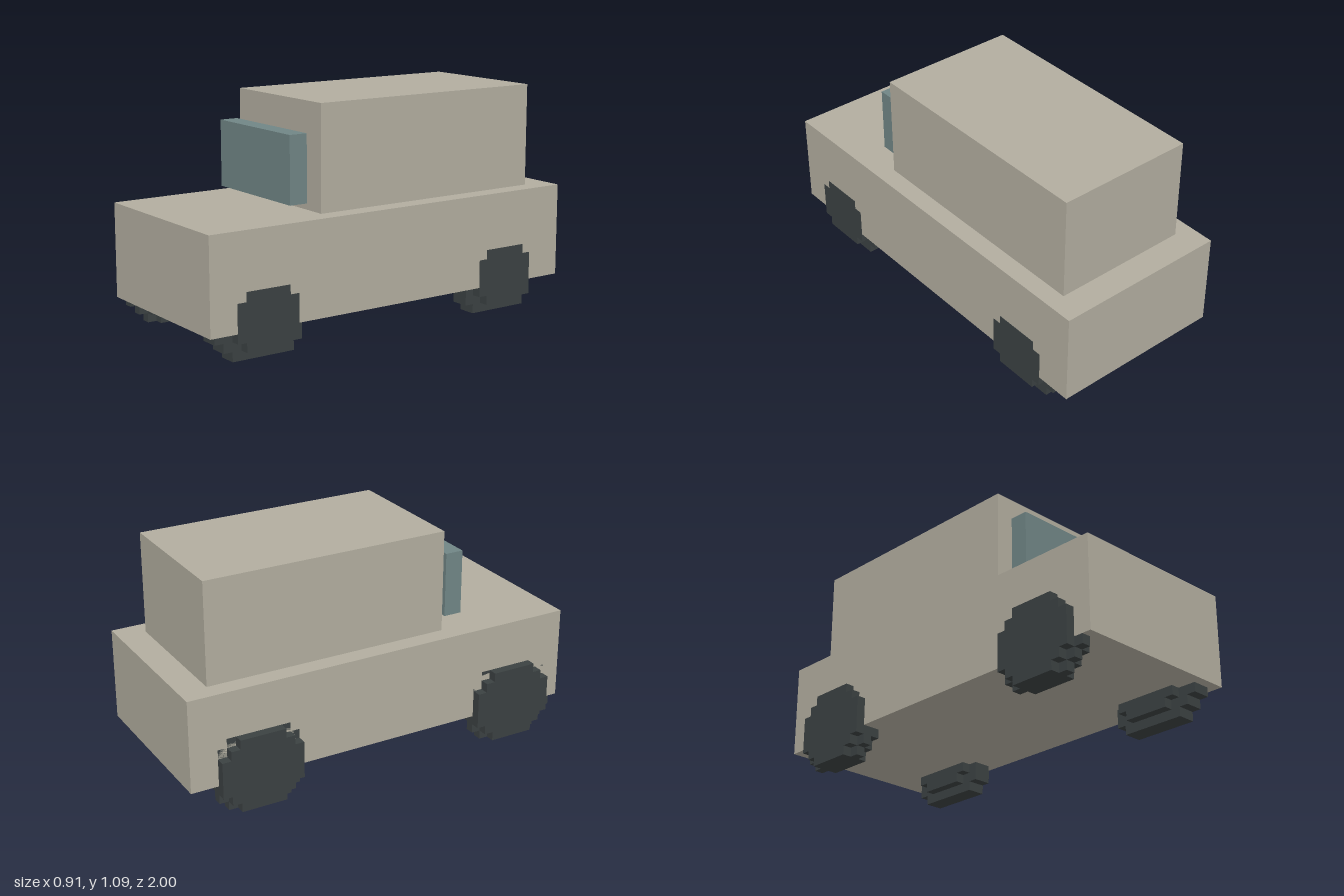
import * as THREE from 'three';

const U = 1 / 22; // block size

const bodyMat = new THREE.MeshStandardMaterial({ name: 'warm grey paint', color: 0xb2ad9f });
const glassMat = new THREE.MeshStandardMaterial({ name: 'blue grey glass', color: 0x708585 });
const tyreMat = new THREE.MeshStandardMaterial({ name: 'dark rubber', color: 0x3b4142 });

// Box from its low and high corners, counted in blocks
function block(name, mat, [x0, y0, z0], [x1, y1, z1]) {
  const geo = new THREE.BoxGeometry((x1 - x0) * U, (y1 - y0) * U, (z1 - z0) * U);
  geo.translate((x0 + x1) / 2 * U, (y0 + y1) / 2 * U, (z0 + z1) / 2 * U);
  const mesh = new THREE.Mesh(geo, mat);
  mesh.name = name;
  return mesh;
}

// Stepped disc: one width per row of blocks, from x0 to x1, centred on z
function steppedDisc(name, widths, firstRow, x0, x1, z) {
  const points = [];
  widths.forEach((w, i) => {
    points.push(new THREE.Vector2(w / 2 * U, (firstRow + i) * U));
    points.push(new THREE.Vector2(w / 2 * U, (firstRow + i + 1) * U));
  });
  const mirrored = points.map(p => new THREE.Vector2(-p.x, p.y)).reverse();
  const geo = new THREE.ExtrudeGeometry(new THREE.Shape([...points, ...mirrored]), {
    depth: (x1 - x0) * U, bevelEnabled: false,
  });
  geo.rotateY(Math.PI / 2);
  geo.translate(x0 * U, 0, z * U);
  const mesh = new THREE.Mesh(geo, tyreMat);
  mesh.name = name;
  return mesh;
}

export function createModel() {
  const model = new THREE.Group();
  model.name = 'blockCar';

  model.add(
    block('body', bodyMat, [-9, 3, -22], [10, 13, 22]),
    block('cabin', bodyMat, [-7, 13, -19], [8, 24, 8]),
    block('windscreen', glassMat, [-6, 14, 9], [7, 21, 11]),
  );

  const small = [5, 7, 7, 7, 7, 5];
  const round = [5, 7, 9, 9, 9, 9, 7, 5];
  const wide = [7, 9, 9, 9, 9, 9, 9, 7];

  for (const [end, z] of [['front', 15.5], ['rear', -14.5]]) {
    // Left wheel: wide tread between two smaller side discs, nearly flush with the body
    const left = new THREE.Group();
    left.name = end + 'LeftWheel';
    left.add(
      steppedDisc('innerDisc', small, 1, 6, 7, z),
      steppedDisc('tread', wide, 0, 7, 9, z),
      steppedDisc('outerDisc', small, 1, 9, 10.04, z),
    );

    // Right wheel: stands one block out of the body
    const right = new THREE.Group();
    right.name = end + 'RightWheel';
    right.add(
      steppedDisc('outerDisc', round, 0, -10, -9, z),
      steppedDisc('tread', wide, 0, -9, -8, z),
      steppedDisc('innerDisc', round, 0, -8, -7, z),
    );

    // Single tread lugs ahead of the front wheels
    if (end === 'front') {
      left.add(block('treadLug', tyreMat, [7, 2, 20], [9, 3, 21]));
      right.add(block('treadLug', tyreMat, [-9, 2, 20], [-8, 3, 21]));
    }
    model.add(left, right);
  }
  return model;
}
